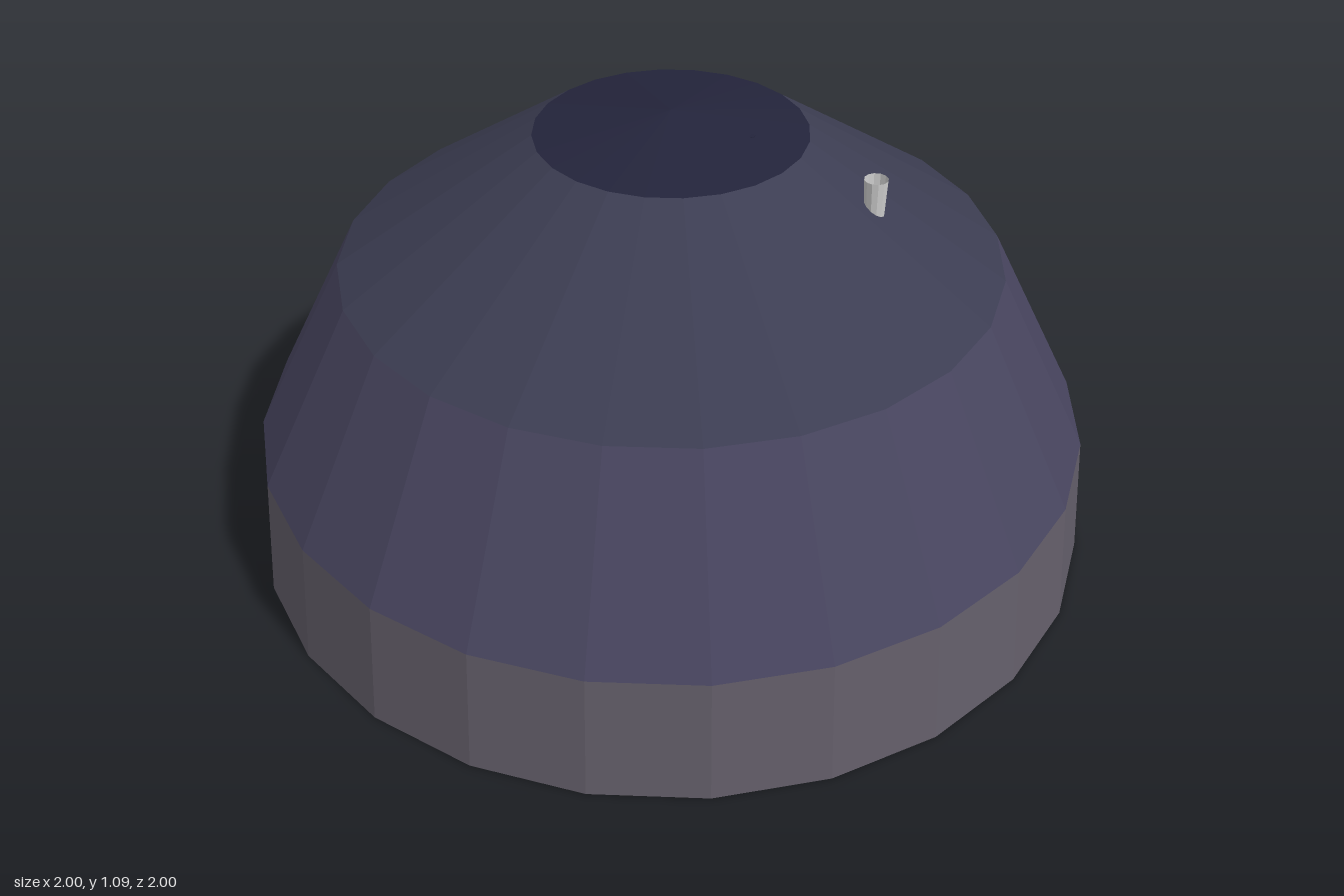
import * as THREE from 'three';

function material(color, flat = true) {
  return new THREE.MeshStandardMaterial({ color, flatShading: flat, side: THREE.DoubleSide });
}

function addMesh(group, name, geometry, mat, x = 0, y = 0, z = 0) {
  const mesh = new THREE.Mesh(geometry, mat);
  mesh.name = name;
  mesh.position.set(x, y, z);
  group.add(mesh);
  return mesh;
}

export function createModel() {
  const model = new THREE.Group();
  model.name = 'dome';

  // Faceted shell, stacked from open conical bands: radius and height at each end
  const bands = [
    ['baseBand', 1.0, 0.0, 0.98, 0.3, 0x635e69],
    ['middleBand', 0.98, 0.3, 0.765, 0.73, 0x48455f],
    ['upperBand', 0.765, 0.73, 0.31, 1.04, 0x3c3d52],
    ['topCap', 0.31, 1.04, 0, 1.09, 0x23243b],
  ];
  for (const [name, r0, y0, r1, y1, color] of bands) {
    const band = new THREE.CylinderGeometry(r1, r0, y1 - y0, 24, 1, true);
    addMesh(model, name, band, material(color), 0, (y0 + y1) / 2, 0);
  }

  // Open inner ring wall, raised off the ground
  const grey = 0xcccccc;
  addMesh(model, 'innerRing', new THREE.CylinderGeometry(0.614, 0.614, 0.54, 64, 1, true),
    material(grey), 0, 0.36, 0);

  // Small flared vent pipe through the roof
  addMesh(model, 'ventPipe', new THREE.CylinderGeometry(0.027, 0.02, 0.14, 12, 1, true),
    material(grey), 0.43, 0.93, 0.19);

  // Thin rod hanging from the ceiling
  addMesh(model, 'hangingRod', new THREE.CylinderGeometry(0.008, 0.008, 0.78, 8),
    material(0x23243b), 0.17, 0.67, 0.08);

  return model;
}
